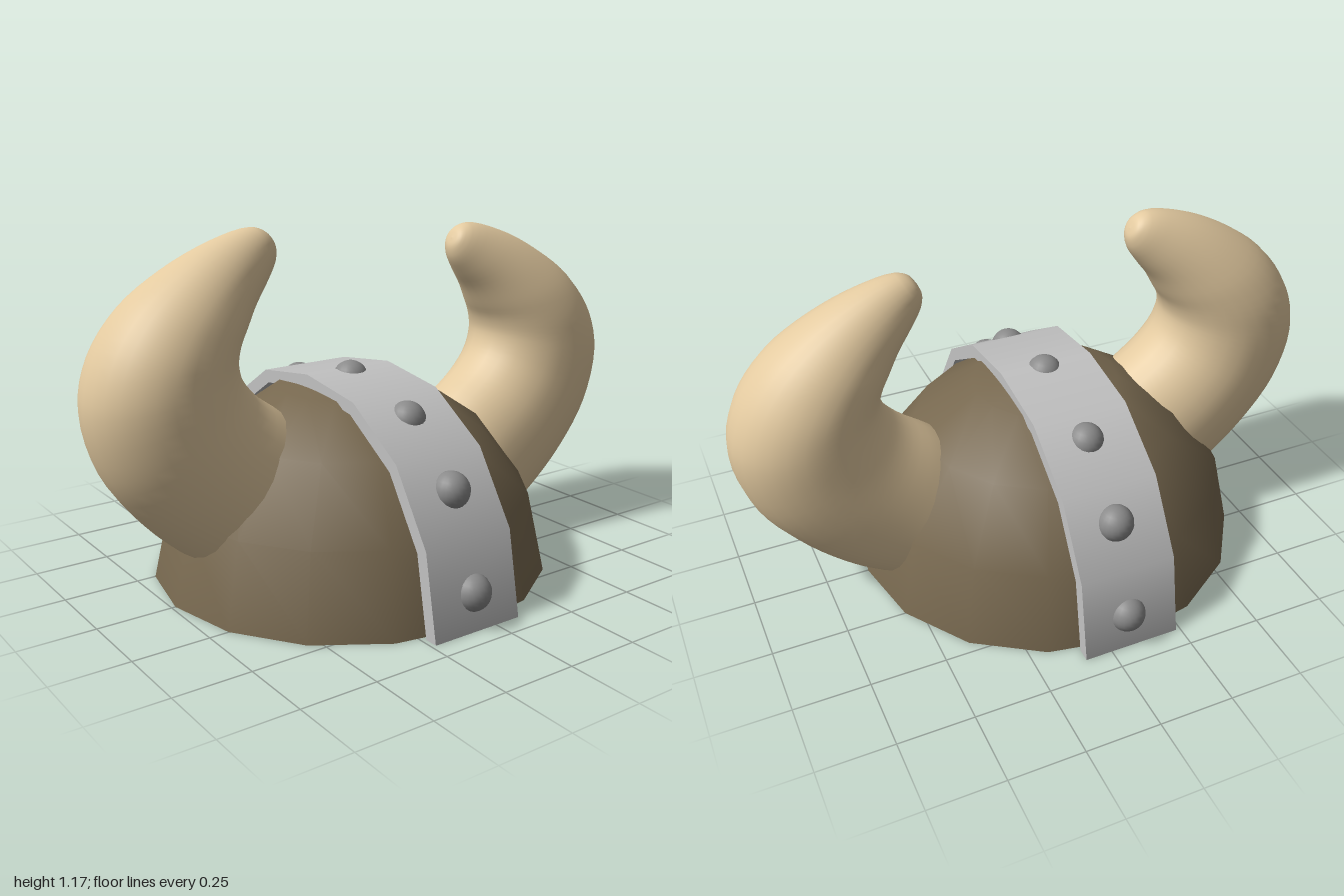
import * as THREE from 'three';
import { mergeGeometries } from 'three/addons/utils/BufferGeometryUtils.js';

const material = (name, color, extra = {}) => {
  const m = new THREE.MeshStandardMaterial({ color, ...extra });
  m.name = name;
  return m;
};

const CENTER = -0.067; // the cap sits slightly off the middle

// Horn outline: [inner x, inner y, outer x, outer y, half depth]
const HORN = [
  [0.24, 0.44, 0.57, 0.04, 0.22],
  [0.34, 0.53, 0.68, 0.11, 0.22],
  [0.44, 0.605, 0.83, 0.25, 0.222],
  [0.495, 0.67, 0.95, 0.42, 0.222],
  [0.513, 0.73, 1.0, 0.62, 0.22],
  [0.503, 0.78, 0.965, 0.775, 0.21],
  [0.475, 0.83, 0.865, 0.915, 0.185],
  [0.44, 0.89, 0.72, 1.02, 0.145],
  [0.395, 0.95, 0.56, 1.095, 0.1],
  [0.36, 1.005, 0.43, 1.125, 0.06],
  [0.352, 1.045, 0.385, 1.11, 0.035],
  [0.362, 1.078, 0.362, 1.078, 0],
];

// Elliptical sections lofted between the inner and outer edge curves
function hornGeometry(side, lift) {
  const inner = new THREE.CatmullRomCurve3(HORN.map((h) => new THREE.Vector3(h[0], h[1], h[4])));
  const outer = new THREE.CatmullRomCurve3(HORN.map((h) => new THREE.Vector3(h[2], h[3], 0)));
  const rows = 44, sides = 28, pos = [], index = [];
  for (let i = 0; i <= rows; i++) {
    const p = inner.getPoint(i / rows), q = outer.getPoint(i / rows);
    for (let j = 0; j < sides; j++) {
      const a = (j / sides) * Math.PI * 2, t = 0.5 + 0.5 * Math.cos(a);
      pos.push(side * (p.x + (q.x - p.x) * t), p.y + (q.y - p.y) * t + lift, p.z * Math.sin(a));
      if (i === rows) continue;
      const k = (j + 1) % sides;
      const A = i * sides + j, B = A + sides, C = i * sides + k, D = C + sides;
      if (side > 0) index.push(A, B, C, B, D, C);
      else index.push(A, C, B, B, C, D);
    }
  }
  const g = new THREE.BufferGeometry();
  g.setAttribute('position', new THREE.Float32BufferAttribute(pos, 3));
  g.setIndex(index);
  g.computeVertexNormals();
  return g;
}

// Half hoop of rectangular section, running front to back over the cap
function bandGeometry(r0, r1, half) {
  const corners = [[r1, -half], [r1, half], [r0, half], [r0, -half], [r1, -half]];
  const strips = [];
  for (let i = 0; i < 4; i++) {
    const edge = [corners[i], corners[i + 1]].map((c) => new THREE.Vector2(...c));
    strips.push(new THREE.LatheGeometry(edge, 8, 0, Math.PI));
  }
  const g = mergeGeometries(strips).rotateZ(Math.PI / 2);
  // Slightly fuller shoulders than a true circle
  const p = g.attributes.position;
  for (let i = 0; i < p.count; i++) {
    const a = Math.atan2(p.getY(i), p.getZ(i));
    p.setY(i, p.getY(i) + 0.022 * Math.abs(Math.sin(2 * a)));
  }
  return g;
}

export function createModel() {
  const group = new THREE.Group();
  const leather = material('brown leather', 0x77684f);
  const steel = material('light steel', 0xc2c2c2);
  const iron = material('dark iron', 0x8b8b8b);
  const bone = material('horn bone', 0xe3caa0);

  const add = (name, geometry, mat, x = 0, y = 0, z = 0) => {
    const mesh = new THREE.Mesh(geometry, mat);
    mesh.name = name;
    mesh.position.set(x, y, z);
    group.add(mesh);
    return mesh;
  };

  // Sixteen-sided cap with closed underside
  const profile = [[0.67, 0], [0.61, 0.27], [0.447, 0.49], [0.245, 0.627], [0, 0.66]];
  const cap = add('cap', new THREE.LatheGeometry(profile.map((p) => new THREE.Vector2(...p)), 16), leather, CENTER);
  cap.scale.z = 0.97;
  const base = add('capUnderside', new THREE.CircleGeometry(0.67, 16).rotateX(Math.PI / 2), leather, CENTER);
  base.scale.z = 0.97;

  // Metal band with its two end faces
  add('band', bandGeometry(0.635, 0.68, 0.163), steel, -0.072);
  for (const s of [1, -1]) {
    add('bandEnd', new THREE.PlaneGeometry(0.326, 0.045).rotateX(Math.PI / 2), steel, -0.072, 0, s * 0.6575);
  }

  // Rivets along the band
  const rivet = new THREE.SphereGeometry(0.06, 20, 14);
  add('rivet', rivet, iron, CENTER, 0.645, 0.005);
  for (const s of [1, -1]) {
    for (const [y, z] of [[0.113, 0.643], [0.405, 0.535], [0.575, 0.315]]) {
      add('rivet', rivet, iron, CENTER, y, s * z);
    }
  }

  // Curved horns, the right one set a little higher
  add('leftHorn', hornGeometry(1, 0), bone);
  add('rightHorn', hornGeometry(-1, 0.045), bone);

  return group;
}
